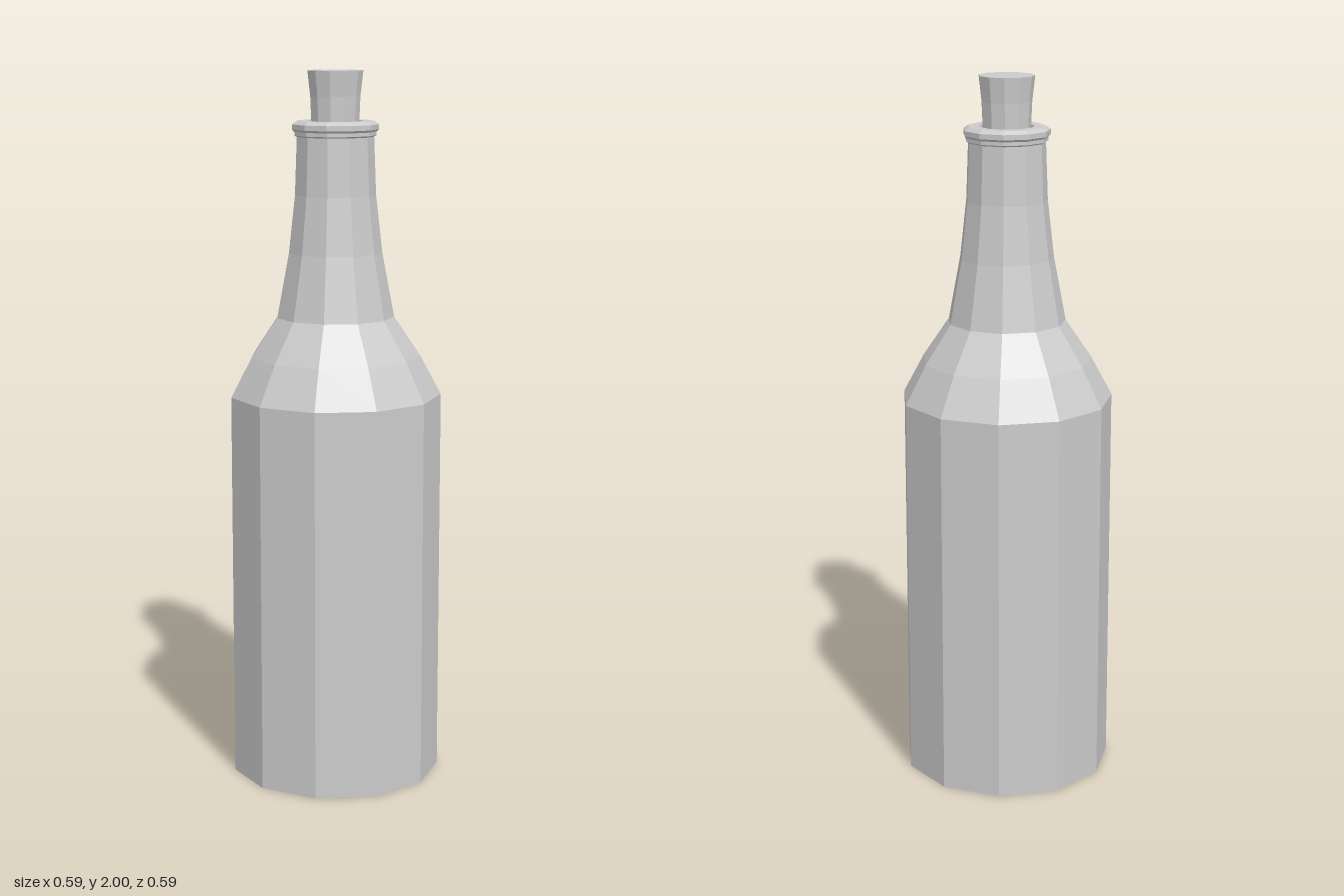
import * as THREE from 'three';

const SIDES = 11;

// Low-poly turned part: profile of [radius, height], bottom to top, with one corner at the back
function turned(name, profile) {
  const points = profile.map(([r, y]) => new THREE.Vector2(r, y));
  const geometry = new THREE.LatheGeometry(points, SIDES, Math.PI);
  const material = new THREE.MeshStandardMaterial({ color: 0xcccccc, flatShading: true });
  const mesh = new THREE.Mesh(geometry, material);
  mesh.name = name;
  return mesh;
}

export function createModel() {
  const bottle = new THREE.Group();
  bottle.name = 'bottle';

  // Flat base, straight body, two-step shoulder and tapering neck
  bottle.add(turned('glassBody', [
    [0, 0], [0.299, 0], [0.299, 1.1], [0.24, 1.21], [0.166, 1.32],
    [0.132, 1.5], [0.114, 1.66], [0.108, 1.825],
  ]));

  // Stepped lip with a flat rim and the bore running down to the cork
  bottle.add(turned('lip', [
    [0.108, 1.82], [0.115, 1.824], [0.115, 1.834], [0.121, 1.84],
    [0.121, 1.854], [0.108, 1.863], [0.077, 1.863], [0.066, 1.8],
  ]));

  // Cork, flaring towards its top
  bottle.add(turned('cork', [
    [0, 1.78], [0.066, 1.78], [0.067, 1.86], [0.07, 1.93], [0.078, 2], [0, 2],
  ]));

  // Centre the odd-sided outline front to back
  bottle.position.z = 0.006;

  const model = new THREE.Group();
  model.add(bottle);
  return model;
}
